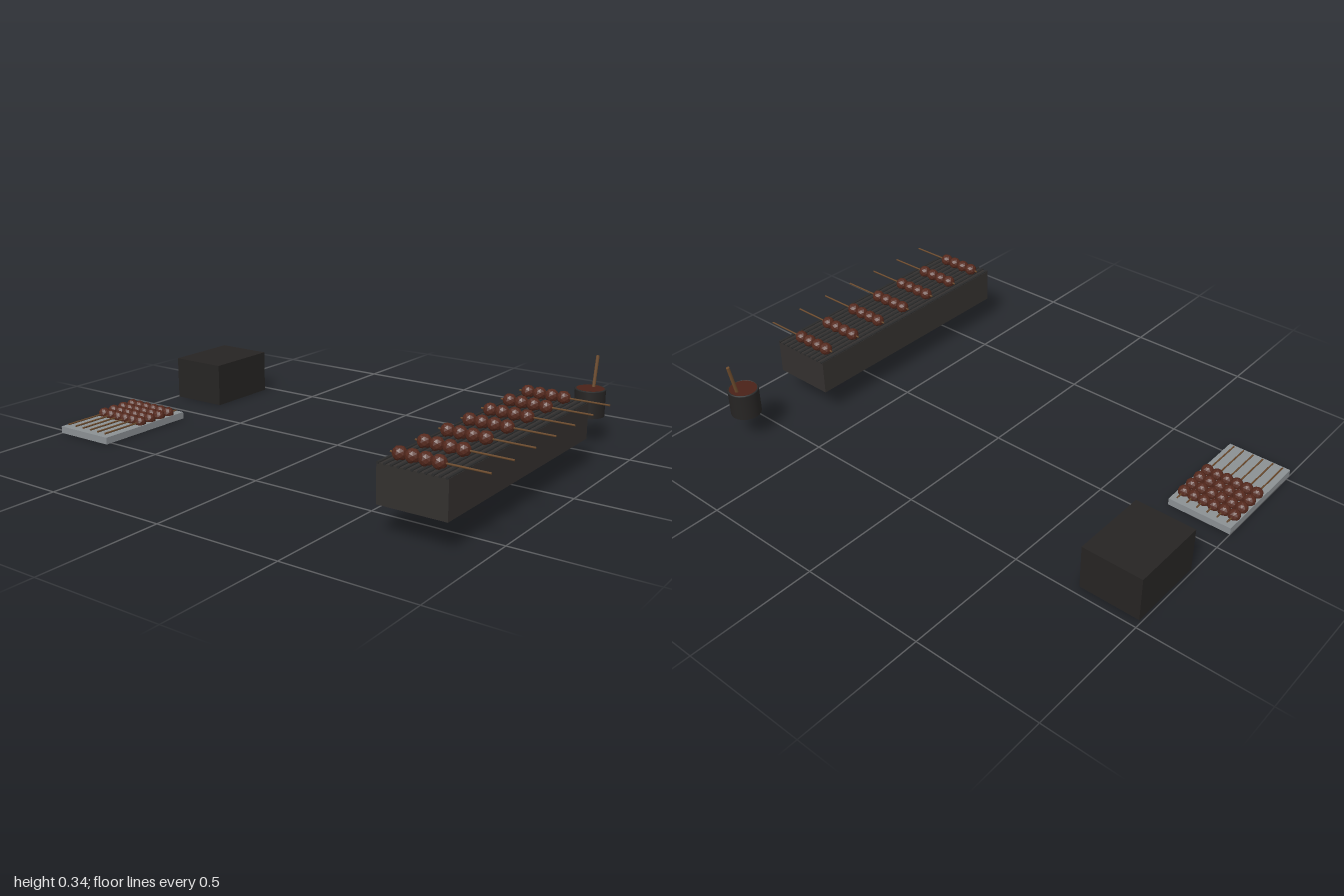
import * as THREE from 'three';

const material = (color, flatShading = false) => new THREE.MeshStandardMaterial({ color, flatShading });
const charcoal = material(0x33302e);
const iron = material(0x2b2b2b);
const black = material(0x262423);
const steel = material(0x8b9093);
const wood = material(0x6b4a2c);
const meat = material(0x55291d, true);
const sauce = material(0x4a2218);

function add(parent, name, geometry, mat, x = 0, y = 0, z = 0) {
  const mesh = new THREE.Mesh(geometry, mat);
  mesh.name = name;
  mesh.position.set(x, y, z);
  parent.add(mesh);
  return mesh;
}

// Box given by its minimum and maximum corners
function block(parent, name, min, max, mat) {
  const size = max.map((v, i) => v - min[i]);
  const mid = max.map((v, i) => (v + min[i]) / 2);
  return add(parent, name, new THREE.BoxGeometry(...size), mat, ...mid);
}

// Skewer along x: stick from x = 0 to length, with balls at the given offsets
function skewer(length, offsets, radius) {
  const group = new THREE.Group();
  group.name = 'skewer';
  const stick = new THREE.CylinderGeometry(0.0035, 0.0035, length, 6).rotateZ(Math.PI / 2);
  add(group, 'stick', stick, wood, length / 2);
  const ball = new THREE.IcosahedronGeometry(radius, 1);
  for (const x of offsets) add(group, 'meatball', ball, meat, x);
  return group;
}

export function createModel() {
  const model = new THREE.Group();
  model.name = 'skewerStall';

  // Grill with bars running lengthwise over its firebox
  const grill = new THREE.Group();
  grill.name = 'grill';
  model.add(grill);
  block(grill, 'firebox', [-0.677, 0.11, 0.635], [0.327, 0.249, 0.894], charcoal);
  const bar = new THREE.CylinderGeometry(0.005, 0.005, 1.01, 8).rotateZ(Math.PI / 2);
  for (let i = 0; i < 11; i++) add(grill, 'grillBar', bar, iron, -0.175, 0.25, 0.641 + i * 0.0247);

  // Skewers on the grill, handles toward the front
  for (let i = 0; i < 7; i++) {
    const s = skewer(0.355, [0.035, 0.082, 0.13, 0.178], 0.0255);
    s.rotation.y = -Math.PI / 2;
    s.position.set(-0.614 + i * 0.1465, 0.27, 0.645);
    grill.add(s);
  }

  // Tray of spare skewers, handles toward -x
  const tray = new THREE.Group();
  tray.name = 'servingTray';
  model.add(tray);
  block(tray, 'tray', [-0.525, 0, -1], [-0.088, 0.028, -0.74], steel);
  for (let i = 0; i < 6; i++) {
    const s = skewer(0.405, [0.195, 0.249, 0.303, 0.356], 0.0245);
    s.position.set(-0.508, 0.036, -0.976 + i * 0.042);
    tray.add(s);
  }

  // Storage box
  block(model, 'storageBox', [0.152, 0, -0.99], [0.466, 0.178, -0.748], black);

  // Sauce pot with brush
  const pot = new THREE.Group();
  pot.name = 'saucePot';
  pot.position.set(0.617, 0, 0.776);
  model.add(pot);
  add(pot, 'potBody', new THREE.CylinderGeometry(0.06, 0.06, 0.106, 20), black, 0, 0.163, 0);
  const rim = new THREE.TorusGeometry(0.057, 0.004, 6, 20).rotateX(Math.PI / 2);
  add(pot, 'potRim', rim, iron, 0, 0.216, 0);
  add(pot, 'sauce', new THREE.CylinderGeometry(0.057, 0.057, 0.006, 20), sauce, 0, 0.216, 0);
  const brush = add(pot, 'brushHandle', new THREE.CylinderGeometry(0.007, 0.007, 0.16, 8), wood, 0.039, 0.262, 0);
  brush.rotation.z = -0.19;

  return model;
}
